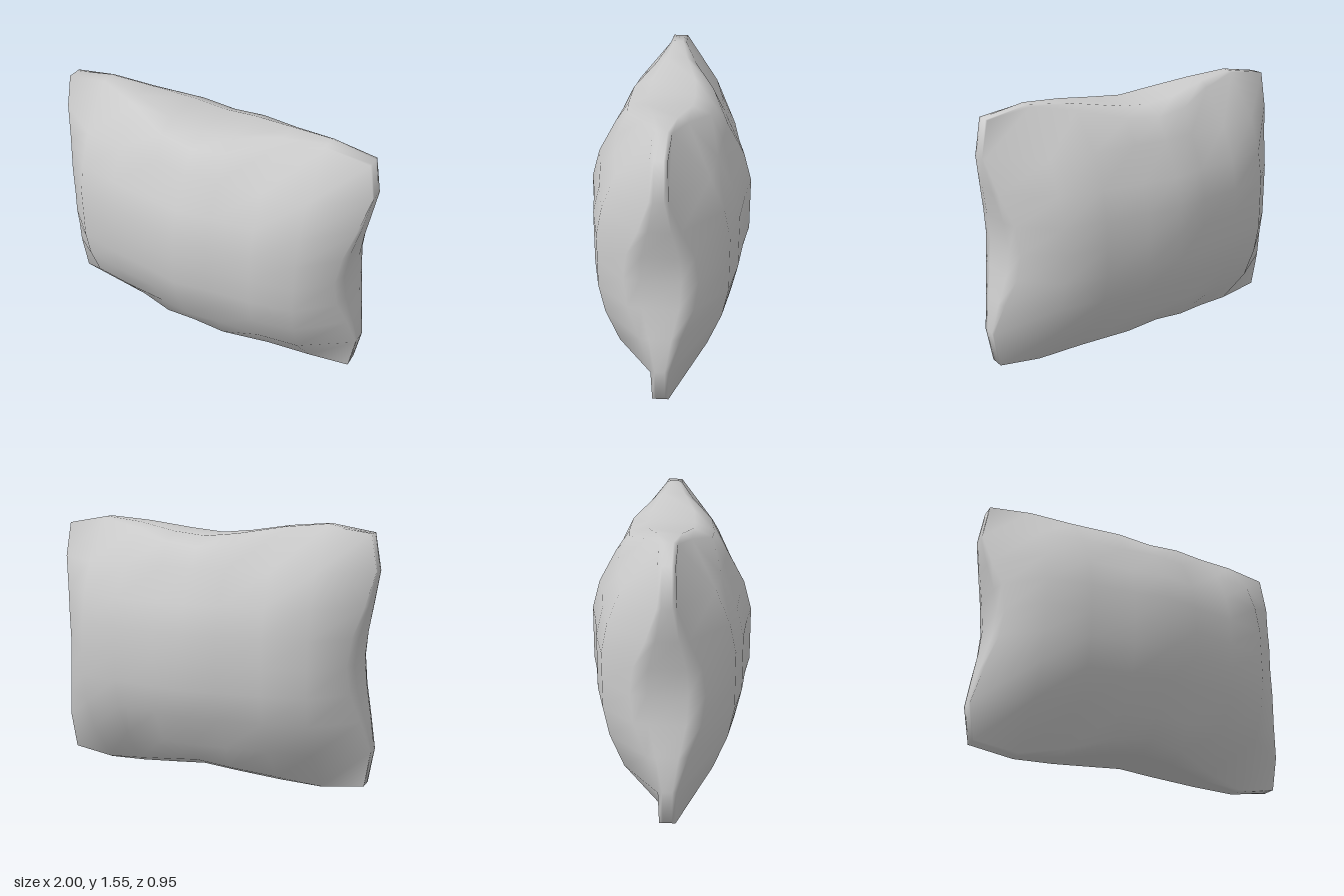
import * as THREE from 'three';
import { mergeVertices } from 'three/addons/utils/BufferGeometryUtils.js';

// Grid lines from the middle of the cushion (0) to its rim (4)
const STEPS = 4;
const COLUMN_X = [0, 0.2, 0.46, 0.71, 0.965];
const ROW_Y = [0, 0.16, 0.33, 0.52, 0.73];
const PUFF_X = [0.475, 0.44, 0.41, 0.36]; // half thickness at each column
const PUFF_Y = [1, 1, 0.905, 0.69]; // share of it kept at each row

// Rim: outline, half thickness and how far its front edge is set in
const SIDE_RIM = { out: [0.908, 0.927, 0.965, 1, 0.965], depth: [0.2, 0.18, 0.11, 0.05, 0.045], inset: [0.02, 0.02, 0.01, 0, 0] };
const TOP_RIM = { out: [0.69, 0.71, 0.752, 0.775, 0.73], depth: [0.25, 0.235, 0.12, 0.05, 0.045], inset: [0.055, 0.05, 0.03, 0.01, 0] };

// Size of one quarter of the cushion at column i and row j
function cushionPoint(i, j, onFace) {
  const rim = i === STEPS ? SIDE_RIM : j === STEPS ? TOP_RIM : null;
  if (!rim) return [COLUMN_X[i], ROW_Y[j], PUFF_X[i] * PUFF_Y[j]];
  const k = i === STEPS ? j : i;
  const edge = rim.out[k] - (onFace ? rim.inset[k] : 0);
  const z = rim.depth[k] * (onFace ? 1 : 0.55);
  return i === STEPS ? [edge, ROW_Y[j], z] : [COLUMN_X[i], edge, z];
}

export function createModel() {
  const group = new THREE.Group();

  // A box grid with a rounded rim, pinched in along the sides and puffed out front and back
  let geometry = new THREE.BoxGeometry(2, 2, 2, STEPS * 2, STEPS * 2, 3);
  geometry.deleteAttribute('normal');
  geometry.deleteAttribute('uv');
  geometry = mergeVertices(geometry, 1e-4);
  const p = geometry.attributes.position;
  for (let n = 0; n < p.count; n++) {
    const x = p.getX(n), y = p.getY(n), z = p.getZ(n);
    const i = Math.round(Math.abs(x) * STEPS);
    const j = Math.round(Math.abs(y) * STEPS);
    const [px, py, pz] = cushionPoint(i, j, Math.abs(z) > 0.9);
    p.setXYZ(n, Math.sign(x) * px, 0.775 + Math.sign(y) * py, Math.sign(z) * pz);
  }
  geometry.computeVertexNormals();

  const cushion = new THREE.Mesh(
    geometry,
    new THREE.MeshStandardMaterial({ color: 0xcccccc })
  );
  cushion.name = 'cushion';
  group.add(cushion);
  return group;
}
